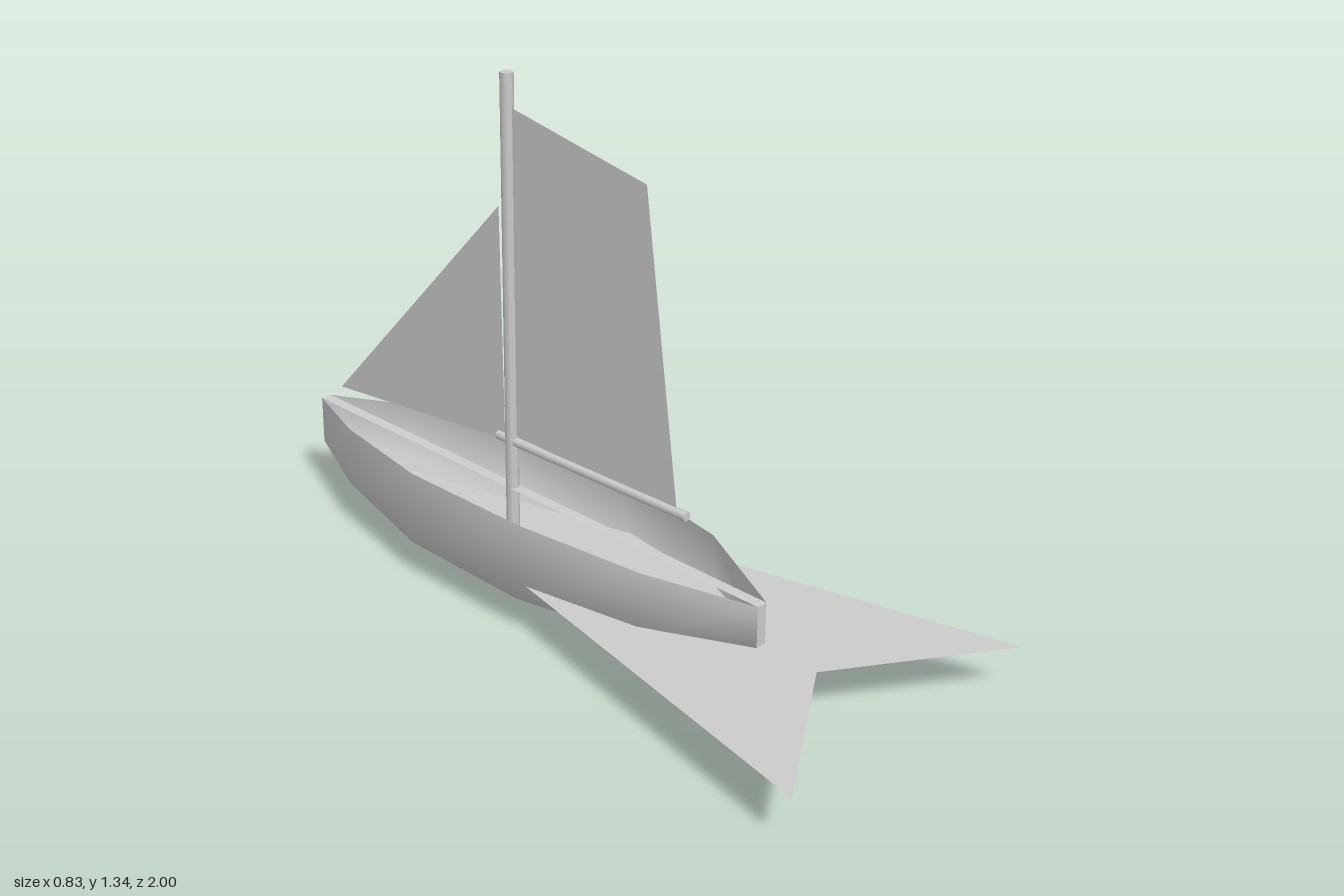
import * as THREE from 'three';

const mat = new THREE.MeshStandardMaterial({ color: 0xcccccc });
const thin = new THREE.MeshStandardMaterial({ color: 0xcccccc, side: THREE.DoubleSide });

// Hull stations, stern to bow: z, rail half width, rail y, chine half width, chine y, keel y
const STATIONS = [
  [0.565, 0.015, 0.245, 0.015, 0.125, 0.115],
  [0.30, 0.13, 0.277, 0.14, 0.107, 0.033],
  [-0.05, 0.182, 0.291, 0.195, 0.095, 0],
  [-0.44, 0.178, 0.292, 0.186, 0.10, 0.017],
  [-0.77, 0.108, 0.283, 0.114, 0.125, 0.068],
  [-1, 0.015, 0.27, 0.015, 0.14, 0.13],
];

// Cross-section from left rail over the keel to right rail
const section = ([z, rw, ry, cw, cy, ky]) => [
  [rw, ry, z], [cw, cy, z], [0, ky, z], [-cw, cy, z], [-rw, ry, z],
];

function surface(name, points, index) {
  const g = new THREE.BufferGeometry();
  g.setAttribute('position', new THREE.Float32BufferAttribute(points.flat(), 3));
  g.setIndex(index);
  g.computeVertexNormals();
  const m = new THREE.Mesh(g, thin);
  m.name = name;
  return m;
}

// Flat polygon as a triangle fan around its first corner
function fan(name, points) {
  const index = [];
  for (let i = 1; i < points.length - 1; i++) index.push(0, i, i + 1);
  return surface(name, points, index);
}

function pole(name, radius, length) {
  const m = new THREE.Mesh(new THREE.CylinderGeometry(radius, radius, length, 8), mat);
  m.name = name;
  return m;
}

export function createModel() {
  const boat = new THREE.Group();
  boat.name = 'sailboat';

  // Open hull shell lofted through the stations
  const rings = STATIONS.map(section);
  const index = [];
  for (let s = 0; s < rings.length - 1; s++) {
    for (let i = 0; i < 4; i++) {
      const a = s * 5 + i, b = a + 5;
      index.push(a, a + 1, b, b, a + 1, b + 1);
    }
  }
  // wind faces outward
  for (let i = 0; i < index.length; i += 3) [index[i + 1], index[i + 2]] = [index[i + 2], index[i + 1]];
  boat.add(surface('hull', rings.flat(), index));

  // Narrow end faces and the centre plank between them
  const stern = rings[0], bow = rings[rings.length - 1];
  boat.add(fan('sternPost', [...stern].reverse()));
  boat.add(fan('bowPost', bow));
  boat.add(fan('centrePlank', [stern[0], bow[0], bow[4], stern[4]]));

  // Mast and boom
  const mast = pole('mast', 0.017, 1.31);
  mast.position.set(0, 0.685, -0.26);
  const boom = pole('boom', 0.012, 0.64);
  boom.rotation.x = Math.PI / 2;
  boom.position.set(0, 0.386, 0.01);
  boat.add(mast, boom);

  // Flat sails on the centreline
  const sail = (name, zy) => fan(name, zy.map(([z, y]) => [0, y, z]));
  boat.add(sail('mainsail', [[0.30, 0.37], [0.19, 1.17], [-0.245, 1.255], [-0.245, 0.405]]));
  boat.add(sail('jib', [[-0.285, 0.38], [-0.295, 1.0], [-0.93, 0.322]]));

  // Flat wake spreading behind the stern
  const wy = 0.137;
  boat.add(fan('wake', [[0, wy, -0.86], [-0.417, wy, 1], [0, wy, 0.73], [0.417, wy, 1]]));

  return boat;
}
